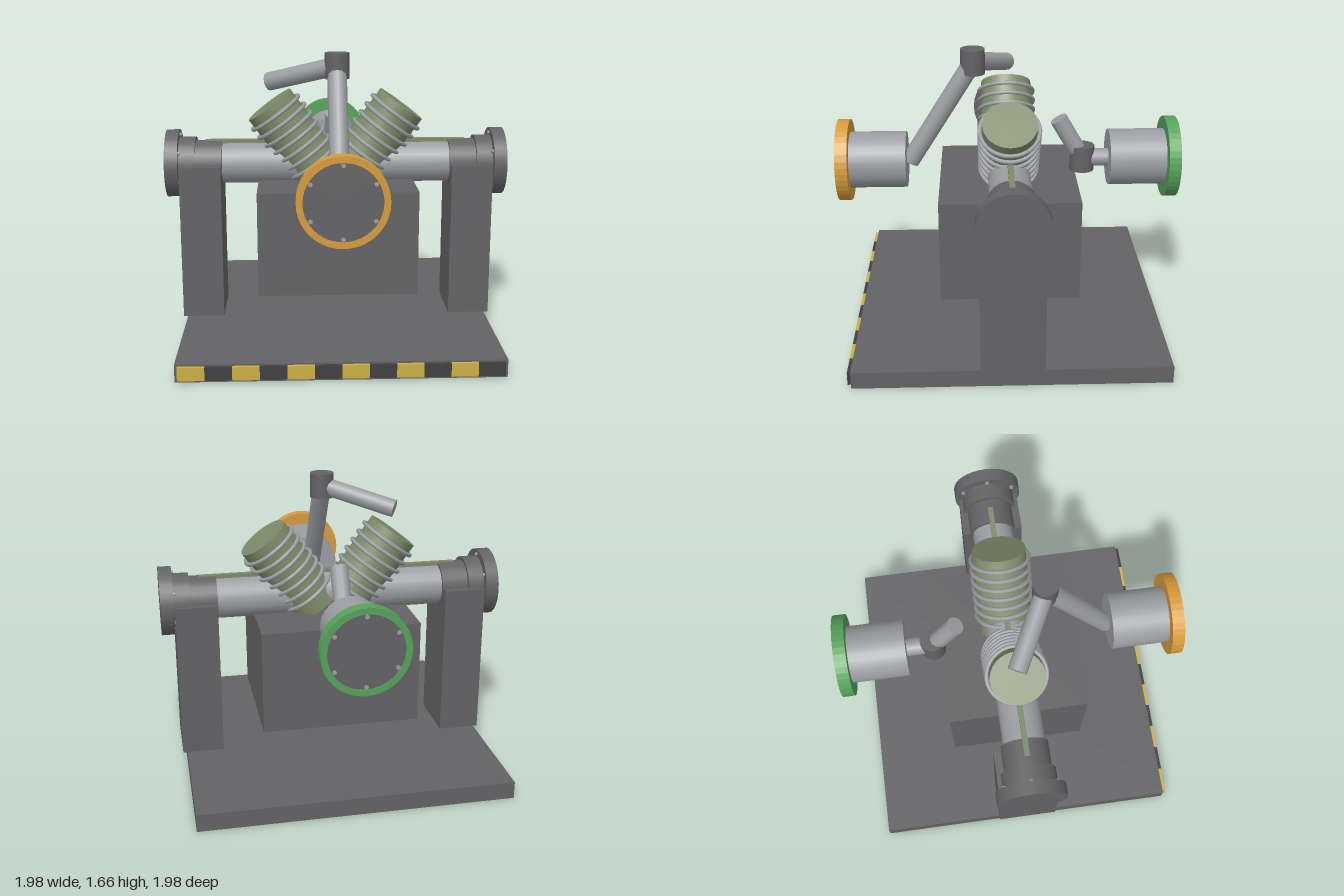
import * as THREE from 'three';

const mat = (name, color) => {
  const m = new THREE.MeshStandardMaterial({ color });
  m.name = name;
  return m;
};

export function createModel() {
  const dark = mat('dark grey', 0x636365);
  const steel = mat('light steel', 0x9b9da2);
  const olive = mat('olive', 0x7d8b69);
  const orange = mat('orange', 0xd79b3c);
  const green = mat('green', 0x57a25b);
  const yellow = mat('yellow', 0xcaae44);
  const black = mat('black', 0x404042);

  const model = new THREE.Group();
  const add = (parent, name, geo, material, x = 0, y = 0, z = 0) => {
    const m = new THREE.Mesh(geo, material);
    m.name = name;
    m.position.set(x, y, z);
    parent.add(m);
    return m;
  };
  const box = (name, material, w, h, d, x, y, z) =>
    add(model, name, new THREE.BoxGeometry(w, h, d), material, x, y, z);

  // Cylinder running between two points
  const UP = new THREE.Vector3(0, 1, 0);
  const rod = (parent, name, material, r, a, b, sides = 24) => {
    const p = new THREE.Vector3(...a), q = new THREE.Vector3(...b);
    const d = q.clone().sub(p);
    const m = add(parent, name, new THREE.CylinderGeometry(r, r, d.length(), sides), material);
    m.position.copy(p).add(q).multiplyScalar(0.5);
    m.quaternion.setFromUnitVectors(UP, d.normalize());
    return m;
  };

  // Base plate with hazard stripes along the front
  box('basePlate', dark, 1.77, 0.1, 1.77, 0, 0.05, 0);
  for (let i = 0; i < 12; i++) {
    box('hazardStripe', i % 2 ? black : yellow, 0.145, 0.075, 0.03, -0.7975 + i * 0.145, 0.053, 0.89);
  }

  // Central block
  box('centralBlock', dark, 0.91, 0.6, 0.8, 0, 0.6, 0);

  // Main tube with a slim rail on top
  const Y = 0.995;
  rod(model, 'mainTube', steel, 0.12, [-0.7, Y, 0], [0.7, Y, 0]);
  box('topRail', olive, 1.53, 0.03, 0.03, 0, 1.12, 0);

  // Side supports, collars and end flanges
  for (const s of [-1, 1]) {
    box('supportLeg', dark, 0.24, 0.9, 0.355, s * 0.79, 0.55, 0);
    rod(model, 'innerCollar', dark, 0.135, [s * 0.665, Y, 0], [s * 0.83, Y, 0]);
    rod(model, 'outerCollar', dark, 0.155, [s * 0.82, Y, 0], [s * 0.915, Y, 0]);
    rod(model, 'endFlange', dark, 0.198, [s * 0.915, Y, 0], [s * 0.99, Y, 0], 32);
    for (let i = 0; i < 6; i++) {
      const a = i * Math.PI / 3 + Math.PI / 6;
      const y = Y + 0.17 * Math.sin(a), z = 0.17 * Math.cos(a);
      rod(model, 'flangeBolt', steel, 0.011, [s * 0.903, y, z], [s * 0.925, y, z], 8);
    }
  }

  // Tilted finned cylinders forming a V
  for (const s of [-1, 1]) {
    const g = new THREE.Group();
    g.name = 'finnedCylinder';
    g.position.set(s * 0.387, 1.34, 0);
    g.rotation.z = -s * 0.635;
    model.add(g);
    add(g, 'cylinderBody', new THREE.CylinderGeometry(0.152, 0.152, 0.52, 32), olive, 0, -0.26, 0);
    for (let i = 0; i < 7; i++) {
      const fin = add(g, 'coolingRing', new THREE.TorusGeometry(0.166, 0.012, 8, 32), steel, 0, -0.06 - i * 0.06, 0);
      fin.rotation.x = Math.PI / 2;
    }
  }

  // Front and back ports: barrel, coloured rim, dark face and bolts
  for (const [s, rimMaterial] of [[1, orange], [-1, green]]) {
    const g = new THREE.Group();
    g.name = s > 0 ? 'frontPort' : 'backPort';
    g.position.y = Y;
    if (s < 0) g.rotation.y = Math.PI;
    model.add(g);
    rod(g, 'portBarrel', steel, 0.165, [0, 0, 0.593], [0, 0, 0.93], 32);
    const ring = new THREE.Shape();
    ring.absarc(0, 0, 0.238, 0, Math.PI * 2);
    const hole = new THREE.Path();
    hole.absarc(0, 0, 0.204, 0, Math.PI * 2, true);
    ring.holes.push(hole);
    const rimGeo = new THREE.ExtrudeGeometry(ring, { depth: 0.07, bevelEnabled: false, curveSegments: 20 });
    add(g, 'portRim', rimGeo, rimMaterial, 0, 0, 0.92);
    rod(g, 'portBackRing', rimMaterial, 0.21, [0, 0, 0.921], [0, 0, 0.95], 32);
    rod(g, 'portFace', dark, 0.206, [0, 0, 0.94], [0, 0, 0.984], 32);
    for (let i = 0; i < 6; i++) {
      const a = i * Math.PI / 3 + Math.PI / 2;
      const x = 0.19 * Math.cos(a), y = 0.19 * Math.sin(a);
      rod(g, 'portBolt', steel, 0.012, [x, y, 0.975], [x, y, 0.99], 8);
    }
  }

  // Jointed arms rising from each port
  rod(model, 'frontLowerArm', steel, 0.055, [0, 0.985, 0.575], [0, 1.58, 0.2], 12);
  rod(model, 'frontElbow', dark, 0.07, [0, 1.515, 0.2], [0, 1.66, 0.2]);
  rod(model, 'frontUpperArm', steel, 0.053, [0, 1.585, 0.2], [-0.39, 1.473, -0.005], 12);
  rod(model, 'backLowerArm', steel, 0.053, [0, 0.993, -0.61], [0, 0.993, -0.44], 12);
  rod(model, 'backElbow', dark, 0.073, [0, 0.92, -0.44], [0, 1.07, -0.44]);
  rod(model, 'backUpperArm', steel, 0.052, [0, 0.99, -0.44], [0, 1.235, -0.297], 12);

  return model;
}
